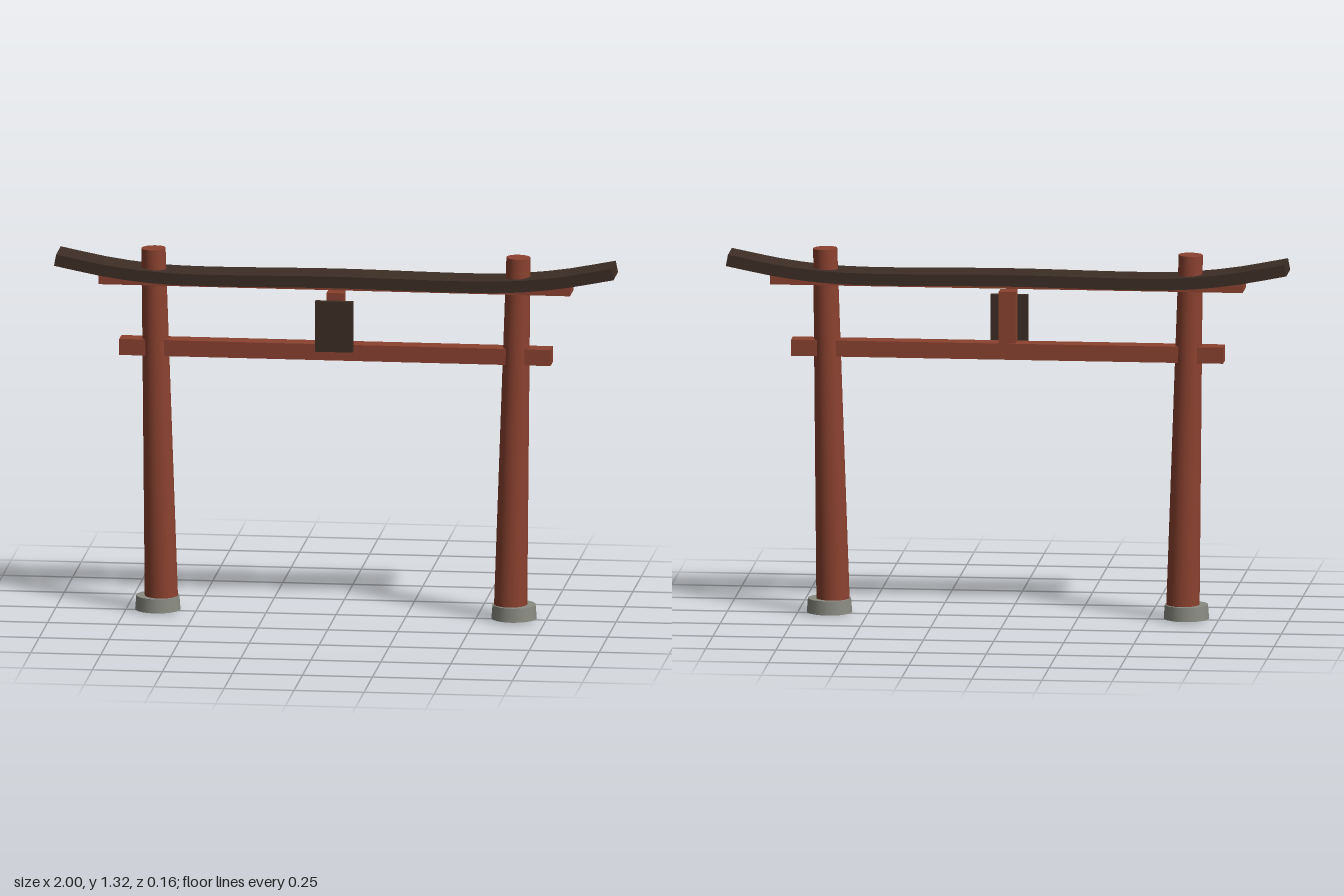
import * as THREE from 'three';

const red = new THREE.MeshStandardMaterial({ color: 0x8b4230 });
red.name = 'vermilion wood';
const dark = new THREE.MeshStandardMaterial({ color: 0x3d2e25 });
dark.name = 'dark wood';
const stone = new THREE.MeshStandardMaterial({ color: 0x8a8b82 });
stone.name = 'grey stone';

export function createModel() {
  const group = new THREE.Group();

  const add = (name, geometry, material, x, y, z) => {
    const mesh = new THREE.Mesh(geometry, material);
    mesh.name = name;
    mesh.position.set(x, y, z);
    group.add(mesh);
    return mesh;
  };
  // Box given by its width, vertical range and depth range
  const box = (name, material, w, y0, y1, z0, z1) =>
    add(name, new THREE.BoxGeometry(w, y1 - y0, z1 - z0), material, 0, (y0 + y1) / 2, (z0 + z1) / 2);

  // Tapered pillars leaning slightly outwards, on stone footings
  for (const [side, s] of [['left', 1], ['right', -1]]) {
    const pillar = add(side + 'Pillar', new THREE.CylinderGeometry(0.043, 0.06, 1.314, 20), red, s * 0.637, 0.658, 0);
    pillar.rotation.z = -s * 0.022;
    add(side + 'Footing', new THREE.CylinderGeometry(0.077, 0.081, 0.05, 20), stone, s * 0.636, 0.03, 0);
  }

  // Straight beams, centre strut and hanging plaque
  box('tieBeam', red, 1.54, 0.93, 0.988, -0.033, 0.033);
  box('upperBeam', red, 1.684, 1.19, 1.224, -0.055, 0.055);
  box('centreStrut', red, 0.06, 0.985, 1.174, -0.03, 0.03);
  box('plaque', dark, 0.134, 0.967, 1.15, 0.044, 0.064);

  // Curved top beam: thickness is offset square to an upswept centre line
  const curve = new THREE.CatmullRomCurve3([
    [-0.995, 1.276], [-0.8, 1.239], [-0.6, 1.219], [0, 1.221],
    [0.6, 1.219], [0.8, 1.239], [0.995, 1.276],
  ].map(([x, y]) => new THREE.Vector3(x, y, 0)));
  const half = 0.021;
  const upper = [], lower = [];
  for (let i = 0; i <= 24; i++) {
    const p = curve.getPointAt(i / 24), t = curve.getTangentAt(i / 24);
    upper.push(new THREE.Vector2(p.x - t.y * half, p.y + t.x * half));
    lower.push(new THREE.Vector2(p.x + t.y * half, p.y - t.x * half));
  }
  const outline = new THREE.Shape([...lower, ...upper.reverse()]);
  add('curvedTopBeam', new THREE.ExtrudeGeometry(outline, { depth: 0.136, bevelEnabled: false }), dark, 0, 0, -0.068);

  return group;
}
